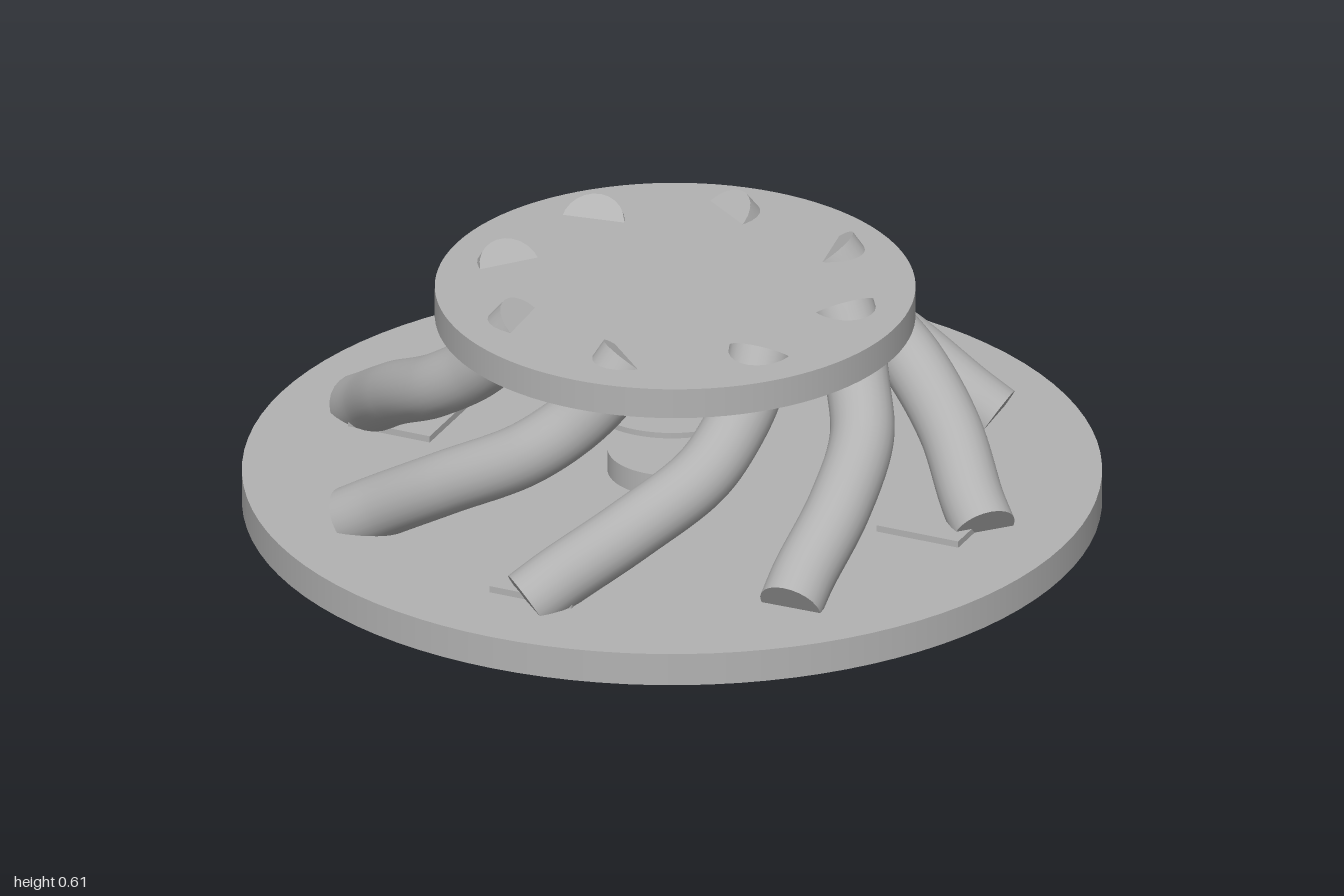
import * as THREE from 'three';

const grey = new THREE.MeshStandardMaterial({ color: 0xb2b2b2 });
grey.name = 'plain grey';

function add(group, name, geometry, x = 0, y = 0, z = 0) {
  const mesh = new THREE.Mesh(geometry, grey);
  mesh.name = name;
  mesh.position.set(x, y, z);
  group.add(mesh);
  return mesh;
}

// Upright disc standing on height y
function disc(group, name, radius, y, height, x = 0, z = 0) {
  return add(group, name, new THREE.CylinderGeometry(radius, radius, height, 96), x, y + height / 2, z);
}

// One winding strut, as x, y, z from the base to the raised disc
const path = [
  [0, 0.085, 0.8], [0.05, 0.13, 0.745], [0.18, 0.235, 0.625], [0.29, 0.335, 0.475],
  [0.32, 0.42, 0.36], [0.33, 0.5, 0.285], [0.325, 0.562, 0.235],
];
const lean = 0.022; // sideways shift of the raised disc
const radius = 0.075;

function strut(angle) {
  const group = new THREE.Group();
  group.name = 'strut';
  const up = new THREE.Vector3(0, 1, 0);
  const curve = new THREE.CatmullRomCurve3(path.map(([x, y, z]) => {
    const p = new THREE.Vector3(x, y, z).applyAxisAngle(up, angle);
    const t = (y - 0.085) / 0.477;
    p.x += lean * t;
    p.z += lean * t;
    return p;
  }));
  add(group, 'strutTube', new THREE.TubeGeometry(curve, 48, radius, 24, false));
  // Flat ends
  for (const t of [0, 1]) {
    const cap = add(group, 'strutEnd', new THREE.CircleGeometry(radius, 24));
    const outward = curve.getTangentAt(t).multiplyScalar(t ? 1 : -1);
    cap.position.copy(curve.getPointAt(t));
    cap.quaternion.setFromUnitVectors(new THREE.Vector3(0, 0, 1), outward);
  }
  return group;
}

export function createModel() {
  const model = new THREE.Group();
  model.name = 'twistedStand';

  disc(model, 'base', 1, 0, 0.08);
  disc(model, 'raisedDisc', 0.559, 0.495, 0.074, 0.022, 0.03);
  disc(model, 'hub', 0.15, 0.08, 0.055);
  disc(model, 'floatingDisc', 0.205, 0.257, 0.014);

  // Eight struts winding round the middle
  for (let i = 0; i < 8; i++) model.add(strut(i * Math.PI / 4));

  // Four square pads on the base
  for (let i = 0; i < 4; i++) {
    const a = i * Math.PI / 2;
    add(model, 'pad', new THREE.BoxGeometry(0.21, 0.016, 0.21),
      Math.sin(a) * 0.677, 0.088, Math.cos(a) * 0.677);
  }
  return model;
}
